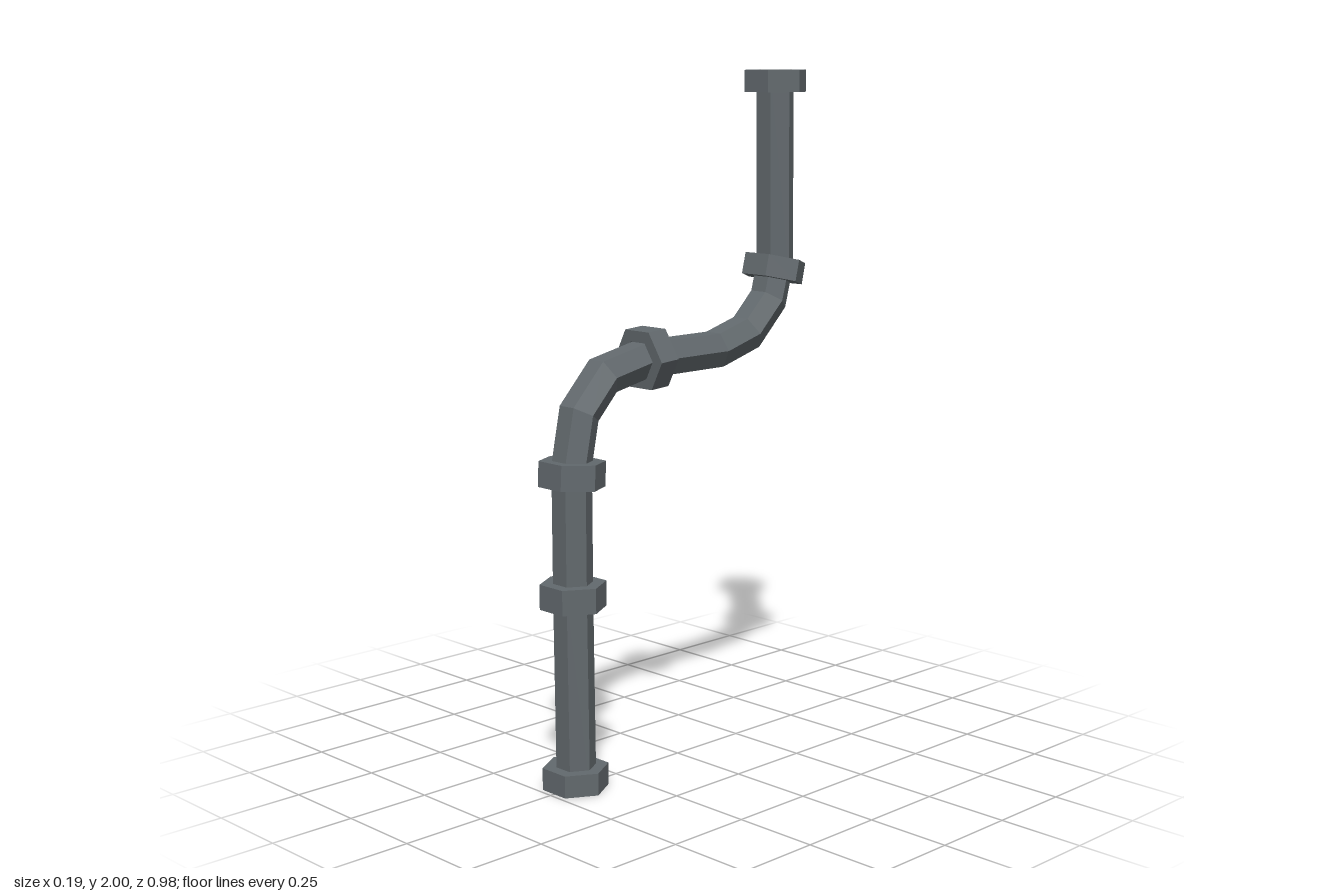
import * as THREE from 'three';

const SIDES = 6;
const PIPE_R = 0.057;
const COLLAR_R = 0.095;

const material = new THREE.MeshStandardMaterial({
  color: 0x62696d, flatShading: true, side: THREE.DoubleSide,
});

// Open hexagonal tube with mitred joints, along [z, y] points in the x = 0 plane
function makePipe(name, path) {
  const pts = path.map(([z, y]) => new THREE.Vector2(z, y));
  const positions = [], index = [];
  pts.forEach((p, k) => {
    const before = p.clone().sub(pts[Math.max(k - 1, 0)]).normalize();
    const after = pts[Math.min(k + 1, pts.length - 1)].clone().sub(p).normalize();
    const t = before.clone().add(after).normalize();
    const miter = 1 / t.dot(k === 0 ? after : before);
    for (let i = 0; i < SIDES; i++) {
      const a = (i / SIDES) * Math.PI * 2;
      const s = PIPE_R * Math.sin(a) * miter;
      positions.push(PIPE_R * Math.cos(a), p.y - t.x * s, p.x + t.y * s);
      if (k > 0) {
        const j = (i + 1) % SIDES, lo = (k - 1) * SIDES, hi = k * SIDES;
        index.push(lo + i, hi + i, hi + j, lo + i, hi + j, lo + j);
      }
    }
  });
  const indexed = new THREE.BufferGeometry();
  indexed.setAttribute('position', new THREE.Float32BufferAttribute(positions, 3));
  indexed.setIndex(index);
  const geometry = indexed.toNonIndexed();
  geometry.computeVertexNormals();
  const mesh = new THREE.Mesh(geometry, material);
  mesh.name = name;
  return mesh;
}

// Hexagonal ring around the pipe; tilt leans its axis from +y towards -z
function makeCollar(name, z, y, height, tilt) {
  const h = height / 2;
  const profile = [[PIPE_R, -h], [COLLAR_R, -h], [COLLAR_R, h], [PIPE_R, h]]
    .map(([r, v]) => new THREE.Vector2(r, v));
  const geometry = new THREE.LatheGeometry(profile, SIDES, Math.PI / 2).toNonIndexed();
  geometry.computeVertexNormals();
  const mesh = new THREE.Mesh(geometry, material);
  mesh.name = name;
  mesh.position.set(0, y, z);
  mesh.rotation.x = -tilt;
  return mesh;
}

export function createModel() {
  const group = new THREE.Group();
  group.name = 'bentPipe';

  // Pipe sections, meeting inside the collars
  group.add(
    makePipe('lowerPipe', [[0.402, 0], [0.408, 0.56]]),
    makePipe('middlePipe', [[0.408, 0.56], [0.409, 0.92]]),
    makePipe('lowerBend', [[0.411, 0.92], [0.38, 1.072], [0.29, 1.167], [0.13, 1.2]]),
    makePipe('upperBend', [[0.13, 1.197], [-0.153, 1.197], [-0.286, 1.235], [-0.38, 1.326], [-0.406, 1.42]]),
    makePipe('upperPipe', [[-0.408, 1.41], [-0.401, 2]]),
  );

  // Collars: name, z, y, height, tilt
  [
    ['bottomCollar', 0.405, 0.032, 0.064, 0],
    ['lowerCollar', 0.408, 0.562, 0.072, 0],
    ['bendStartCollar', 0.408, 0.907, 0.072, 0.05],
    ['bendMiddleCollar', 0.122, 1.2, 0.066, Math.PI / 2 - 0.07],
    ['bendEndCollar', -0.403, 1.416, 0.064, 0.235],
    ['topCollar', -0.403, 1.968, 0.064, 0],
  ].forEach((c) => group.add(makeCollar(...c)));

  return group;
}
